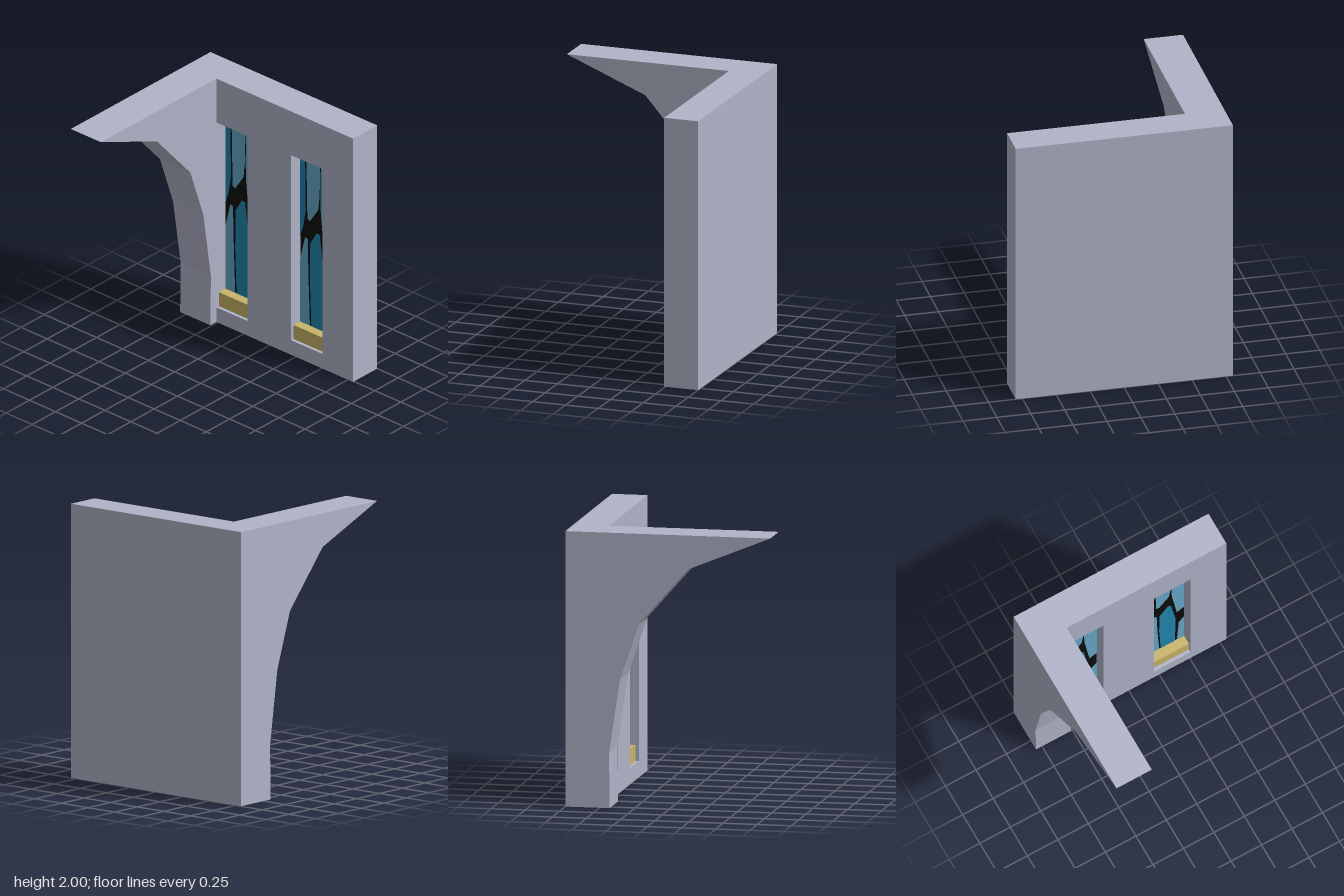
import * as THREE from 'three';

const mat = (name, color) => {
  const m = new THREE.MeshStandardMaterial({ color });
  m.name = name;
  return m;
};

export function createModel() {
  const stone = mat('stone', 0xb1b4c8);
  const gold = mat('sill gold', 0xc9b469);
  const lightGlass = mat('light blue glass', 0x67a9ca);
  const darkGlass = mat('dark blue glass', 0x2088ae);
  const lead = mat('black lead', 0x0c0c0c);

  const model = new THREE.Group();
  model.name = 'windowedWall';
  const add = (parent, name, geometry, material, x = 0, y = 0, z = 0) => {
    const mesh = new THREE.Mesh(geometry, material);
    mesh.name = name;
    mesh.position.set(x, y, z);
    parent.add(mesh);
    return mesh;
  };
  const polygon = (points) => new THREE.Shape(points.map(([x, y]) => new THREE.Vector2(x, y)));
  const rect = (x0, y0, x1, y1) => [[x0, y0], [x1, y0], [x1, y1], [x0, y1]];

  const back = -0.75, front = -0.49, recess = -0.59;
  const windowX = [-0.51, 0.207];
  const width = 0.3, bottom = 0.12, sillTop = 0.235, top = 1.64;

  // Wall: solid back slab and front layer with two window openings
  add(model, 'wallBack', new THREE.BoxGeometry(1.6, 2, recess - back), stone, 0, 1, (recess + back) / 2);
  const face = polygon(rect(-0.8, 0, 0.8, 2));
  for (const x of windowX) face.holes.push(polygon(rect(x, bottom, x + width, top)));
  add(model, 'wallFront', new THREE.ExtrudeGeometry(face, { depth: front - recess, bevelEnabled: false }), stone, 0, 0, recess);

  // Curved buttress, as a [z, y] profile extruded across its width
  const profile = [[front, 0], [-0.425, 0], [-0.43, 0.4], [-0.35, 0.935], [-0.21, 1.345], [0.15, 1.755], [0.75, 2], [front, 2]];
  const buttress = new THREE.ExtrudeGeometry(polygon(profile.map(([z, y]) => [-z, y])), { depth: 0.29, bevelEnabled: false });
  buttress.rotateY(Math.PI / 2);
  add(model, 'buttress', buttress, stone, -0.8);

  // Glass panes, measured from the lower left of a window; gaps show the lead
  const panes = [
    ['upperLeftPane', darkGlass, [[0, 0.935], [0.032, 1.036], [0.055, 1.17], [0.048, top], [0, top]]],
    ['upperCentrePane', lightGlass, [[0.069, 1.18], [0.07, 1.105], [0.095, 1.094], [0.175, 1.216], [0.188, 1.338], [0.194, 1.61], [0.194, top], [0.06, top]]],
    ['upperRightPane', lightGlass, [[0.199, 1.19], [0.24, 0.808], [0.3, 0.845], [0.3, top], [0.194, top], [0.2, 1.61], [0.195, 1.338]]],
    ['lowerLeftPane', lightGlass, [[0, sillTop], [0.095, sillTop], [0.082, 0.6], [0.074, 0.94], [0.048, 0.946], [0, 0.745]]],
    ['lowerCentrePane', darkGlass, [[0.108, sillTop], [0.224, sillTop], [0.231, 0.676], [0.191, 1.015], [0.16, 1.02], [0.098, 0.914], [0.095, 0.596]]],
    ['lowerRightPane', lightGlass, [[0.24, sillTop], [0.3, sillTop], [0.3, 0.644], [0.256, 0.586]]],
  ];

  // Windows with gold sills
  windowX.forEach((x, i) => {
    const win = new THREE.Group();
    win.name = i ? 'leftWindow' : 'rightWindow';
    win.position.x = x;
    model.add(win);
    add(win, 'leadBacking', new THREE.ShapeGeometry(polygon(rect(0, bottom, width, top))), lead, 0, 0, recess + 0.002);
    for (const [name, material, points] of panes)
      add(win, name, new THREE.ShapeGeometry(polygon(points)), material, 0, 0, recess + 0.005);
    add(win, 'sill', new THREE.BoxGeometry(width, sillTop - bottom, 0.075), gold, width / 2, (bottom + sillTop) / 2, recess + 0.0375);
  });
  return model;
}
